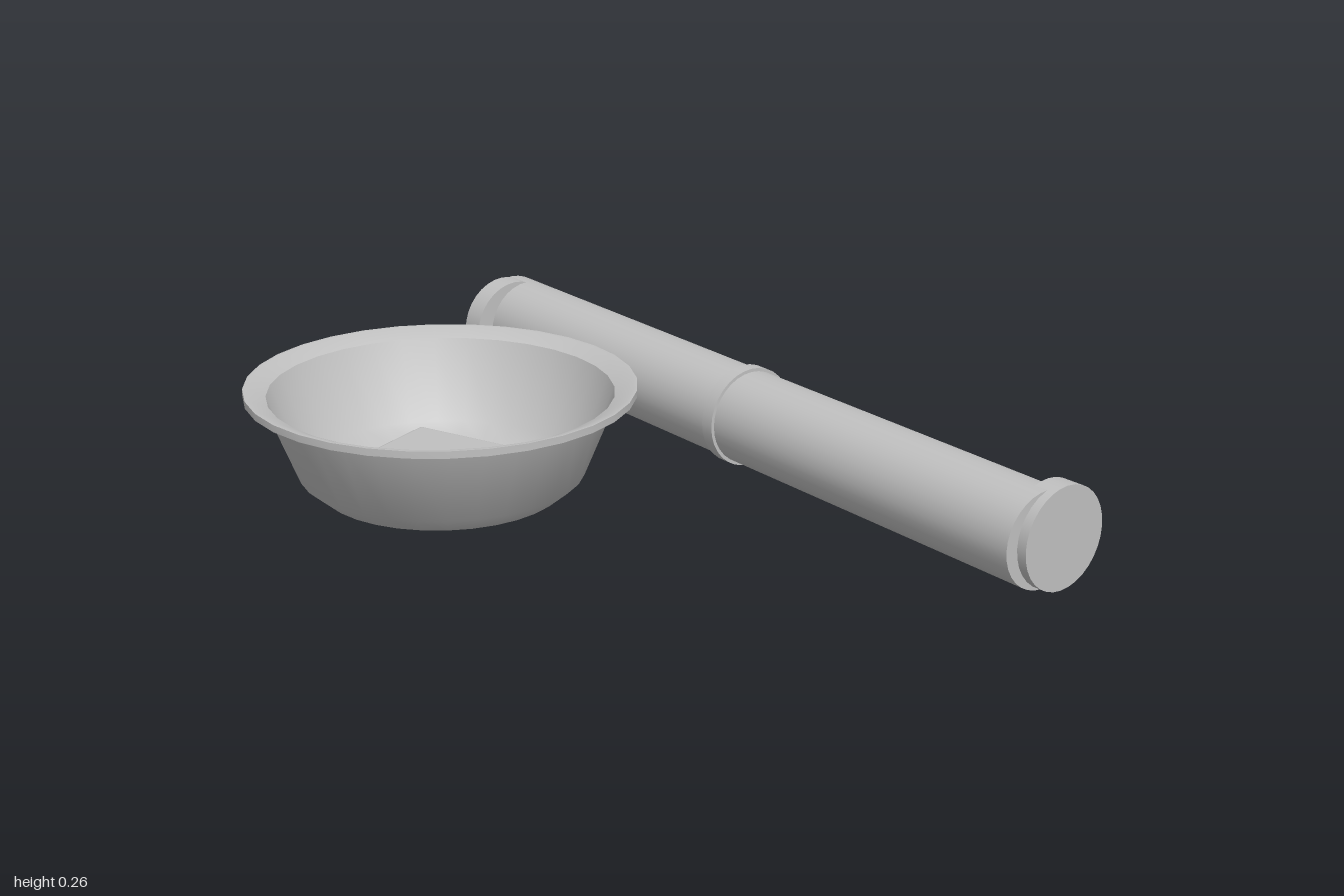
import * as THREE from 'three';
import { toCreasedNormals } from 'three/addons/utils/BufferGeometryUtils.js';
import { RoundedBoxGeometry } from 'three/addons/geometries/RoundedBoxGeometry.js';

export function createModel() {
  const model = new THREE.Group();
  const grey = new THREE.MeshStandardMaterial({ color: 0xc0c0c0 });
  grey.name = 'plain grey';

  const add = (name, geometry, x, y, z, parent = model) => {
    const mesh = new THREE.Mesh(geometry, grey);
    mesh.name = name;
    mesh.position.set(x, y, z);
    parent.add(mesh);
    return mesh;
  };
  // Cylinder lying along x
  const rod = (radius, length) =>
    new THREE.CylinderGeometry(radius, radius, length, 32).rotateZ(Math.PI / 2);

  // Basin: outside wall, flared lip, then inside wall down to the floor
  const profile = [
    [0, 0.01], [0.287, 0.01], [0.335, 0.05], [0.41, 0.236],
    [0.457, 0.245], [0.457, 0.262], [0.447, 0.262], [0.404, 0.243],
    [0.326, 0.055], [0.28, 0.022], [0, 0.02],
  ].map(([r, y]) => new THREE.Vector2(r, y));
  const basin = new THREE.Group();
  basin.name = 'basin';
  basin.position.set(-0.325, 0, 0.18);
  model.add(basin);
  add('bowl', toCreasedNormals(new THREE.LatheGeometry(profile, 32), 0.65), 0, 0, 0, basin);

  // Block resting on the basin floor
  const block = add('block', new RoundedBoxGeometry(0.307, 0.05, 0.245, 3, 0.015), -0.06, 0.043, -0.045, basin);
  block.rotation.y = 0.33;

  // Long roller, turned slightly, with a band round its middle
  const roller = new THREE.Group();
  roller.name = 'roller';
  roller.position.set(-0.008, 0.122, -0.492);
  roller.rotation.y = -0.041;
  model.add(roller);
  add('rollerBody', rod(0.113, 1.968), 0, 0, 0, roller);
  add('middleBand', rod(0.121, 0.035), -0.004, 0, 0, roller);

  // End collars stay square to the x axis
  add('leftCollar', rod(0.12, 0.056), 0.968, 0.122, -0.49);
  add('rightCollar', rod(0.12, 0.056), -0.951, 0.122, -0.49);

  return model;
}
